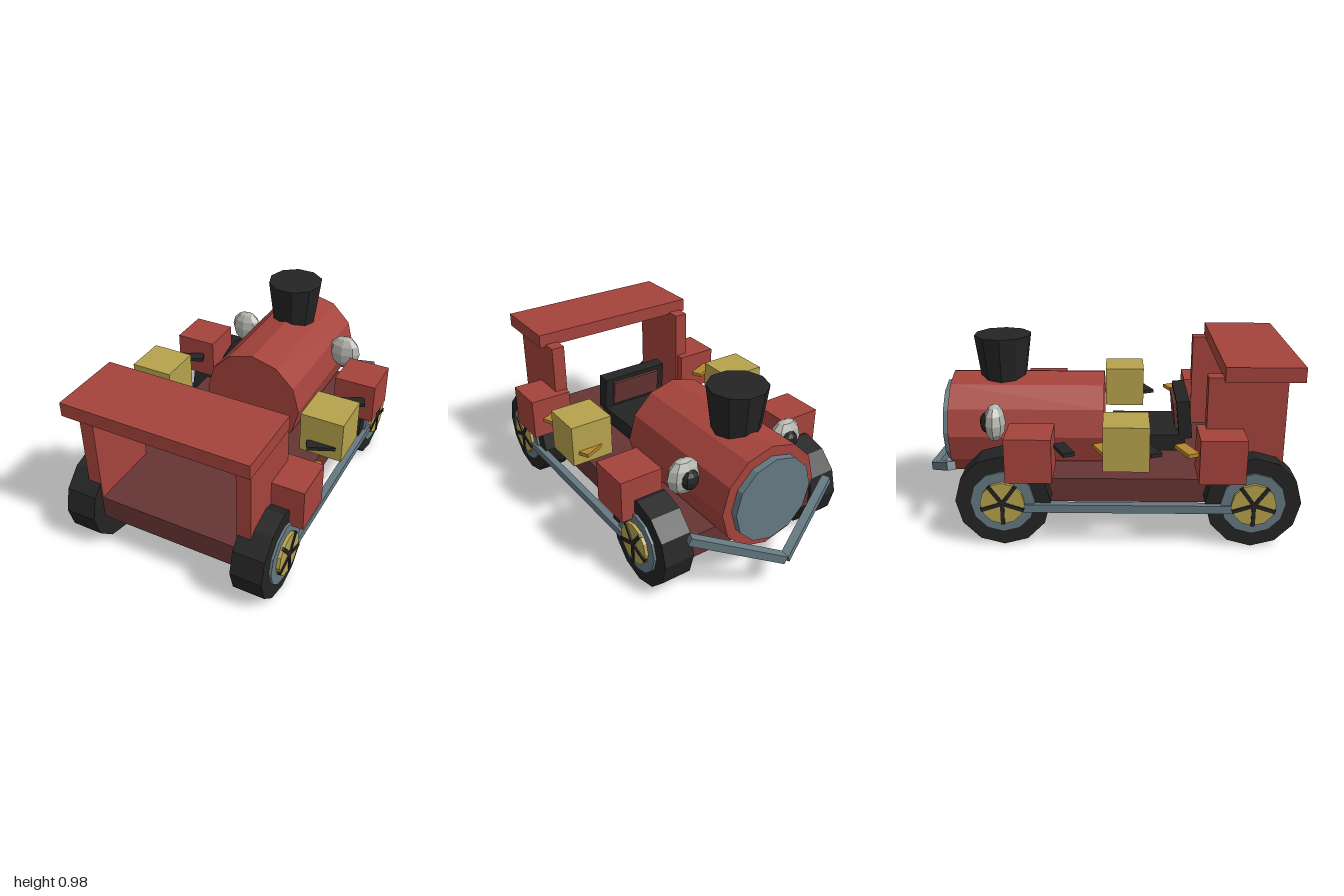
import * as THREE from 'three';

const mat = (name, color) => {
  const m = new THREE.MeshStandardMaterial({ color, flatShading: true });
  m.name = name;
  return m;
};

export function createModel() {
  const red = mat('red paint', 0xa5433c);
  const darkRed = mat('dark red floor', 0x663433);
  const black = mat('black', 0x242424);
  const yellow = mat('brass yellow', 0xb6a24c);
  const steel = mat('blue grey steel', 0x657982);
  const lampGrey = mat('light grey', 0xb4b4ae);
  const orange = mat('amber', 0xb4862f);

  const model = new THREE.Group();
  model.name = 'steamCar';

  const add = (name, geometry, material, x, y, z, parent = model) => {
    const mesh = new THREE.Mesh(geometry, material);
    mesh.name = name;
    mesh.position.set(x, y, z);
    parent.add(mesh);
    return mesh;
  };
  // Box given by its minimum and maximum corners
  const box = (name, material, [x0, y0, z0], [x1, y1, z1]) =>
    add(name, new THREE.BoxGeometry(x1 - x0, y1 - y0, z1 - z0), material,
      (x0 + x1) / 2, (y0 + y1) / 2, (z0 + z1) / 2);
  // Square bar between two points
  const bar = (name, material, a, b, t) => {
    const A = new THREE.Vector3(...a), B = new THREE.Vector3(...b);
    const mesh = add(name, new THREE.BoxGeometry(t, t, A.distanceTo(B)), material, 0, 0, 0);
    mesh.position.copy(A).add(B).multiplyScalar(0.5);
    mesh.lookAt(B);
    return mesh;
  };
  // Cylinder lying along x between two x positions
  const disc = (name, material, r, x0, x1, sides, parent) =>
    add(name, new THREE.CylinderGeometry(r, r, x1 - x0, sides).rotateZ(-Math.PI / 2),
      material, (x0 + x1) / 2, 0, 0, parent);

  // Floor, boiler, boiler plate and chimney
  box('floor', darkRed, [-0.465, 0.2, -0.72], [0.465, 0.33, 0.915]);
  add('boiler', new THREE.CylinderGeometry(0.286, 0.286, 0.83, 12).rotateX(Math.PI / 2),
    red, 0, 0.485, -0.415);
  add('boilerPlate', new THREE.CylinderGeometry(0.232, 0.232, 0.07, 12).rotateX(Math.PI / 2),
    steel, 0, 0.485, -0.832);
  add('chimney', new THREE.CylinderGeometry(0.157, 0.117, 0.3, 10).rotateY(Math.PI / 2),
    black, 0, 0.83, -0.555);

  // Roof and its side posts
  box('roof', red, [-0.495, 0.86, 0.597], [0.495, 0.935, 0.99]);

  // Seat with a back that leans towards the boiler
  box('seat', black, [-0.198, 0.38, 0.045], [0.198, 0.47, 0.44]);
  const back = new THREE.Group();
  back.name = 'seatBack';
  back.position.set(0, 0.555, 0.432);
  back.rotation.x = -0.1;
  model.add(back);
  add('seatBackFrame', new THREE.BoxGeometry(0.396, 0.21, 0.07), black, 0, 0, 0, back);
  add('seatBackPanel', new THREE.BoxGeometry(0.3, 0.14, 0.02), darkRed, 0, 0.01, -0.042, back);

  for (const s of [-1, 1]) {
    const side = s > 0 ? 'left' : 'right';
    const xs = (a, b) => (s > 0 ? [a, b] : [-b, -a]);

    const [p0, p1] = xs(0.385, 0.46);
    box(side + 'RoofPost', red, [p0, 0.33, 0.52], [p1, 0.872, 0.915]);

    // Three cubes along each side
    const [c0, c1] = xs(0.395, 0.63);
    box(side + 'RearCube', red, [c0, 0.375, -0.483], [c1, 0.605, -0.25]);
    box(side + 'MiddleCube', yellow, [c0, 0.44, 0], [c1, 0.67, 0.23]);
    box(side + 'FrontCube', red, [c0, 0.375, 0.475], [c1, 0.605, 0.706]);

    // Slanted links between the cubes
    [[-0.197, black], [0.005, orange], [0.235, black], [0.42, orange]].forEach(([z, m], i) => {
      add(side + 'Link' + (i + 1), new THREE.BoxGeometry(0.15, 0.02, 0.062), m,
        s * 0.517, 0.51, z).rotation.y = 0.42;
    });

    // Wheels: tyre, rim, hub and five spokes
    for (const z of [0.76, -0.508]) {
      const wheel = new THREE.Group();
      wheel.name = side + (z > 0 ? 'FrontWheel' : 'RearWheel');
      wheel.position.set(0, 0.243, z);
      model.add(wheel);
      disc('tyre', black, 0.243, ...xs(0.39, 0.557), 12, wheel);
      disc('rim', steel, 0.165, ...xs(0.5, 0.57), 12, wheel);
      disc('hub', yellow, 0.113, ...xs(0.5, 0.588), 12, wheel);
      for (let i = 0; i < 5; i++) {
        const spoke = new THREE.BoxGeometry(0.016, 0.115, 0.02).translate(0, -0.057, 0);
        add('spoke', spoke, black, s * 0.586, 0, 0, wheel).rotation.x = i * Math.PI * 0.4;
      }
    }
    const [r0, r1] = xs(0.543, 0.583);
    box(side + 'WheelRod', steel, [r0, 0.192, -0.5], [r1, 0.235, 0.76]);

    // Lamp with a dark lens
    add(side + 'Lamp', new THREE.SphereGeometry(1, 8, 6).scale(0.096, 0.1, 0.056),
      lampGrey, s * 0.327, 0.585, -0.568);
    add(side + 'LampLens', new THREE.SphereGeometry(1, 8, 6).scale(0.05, 0.055, 0.035),
      black, s * 0.318, 0.582, -0.613);

    // Angled bumper bar
    bar(side + 'BumperBar', steel, [s * 0.445, 0.388, -0.784], [0, 0.198, -0.978], 0.045);
  }
  return model;
}
